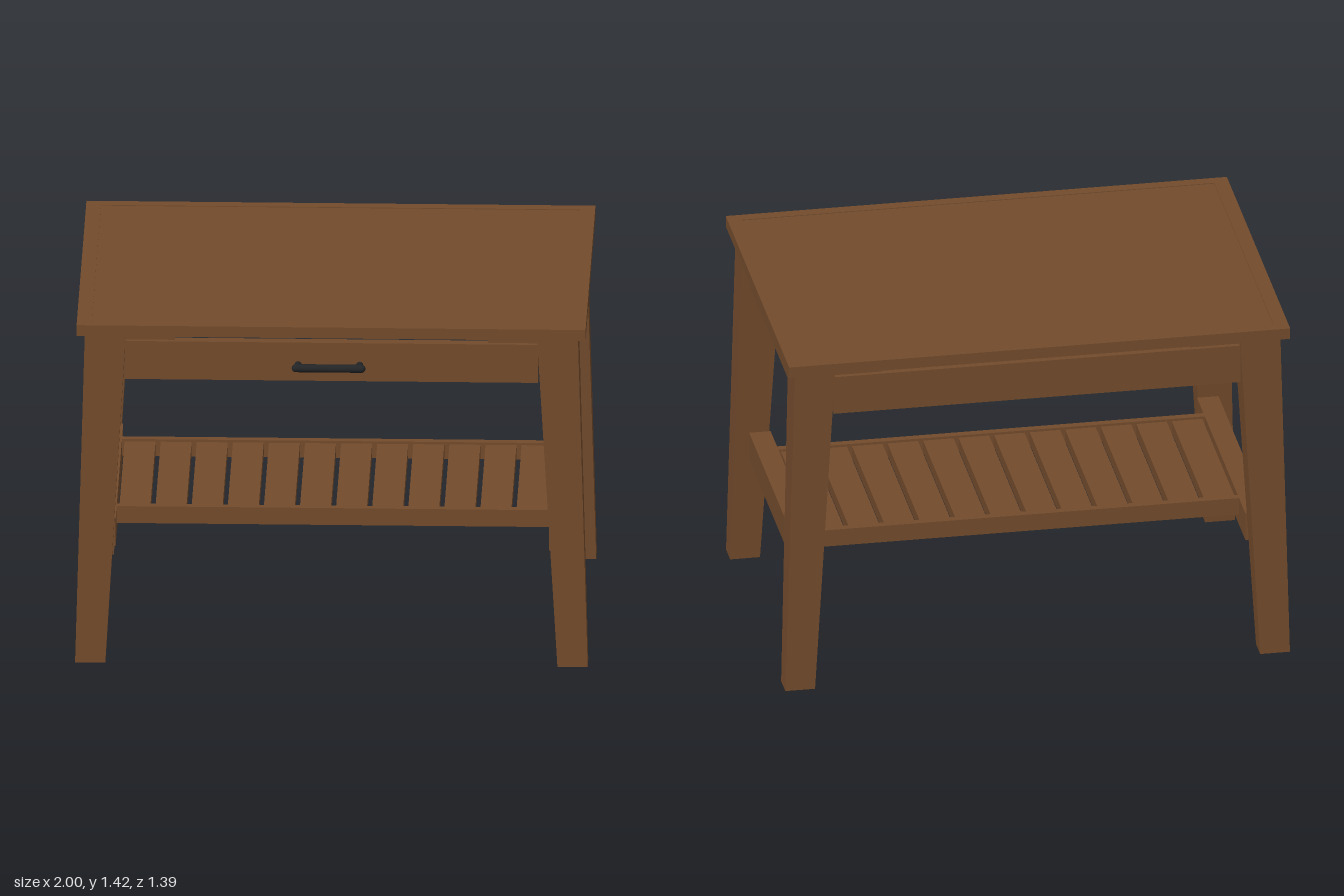
import * as THREE from 'three';

export function createModel() {
  const group = new THREE.Group();
  const wood = new THREE.MeshStandardMaterial({ color: 0x734b2c });
  wood.name = 'brown wood';
  const metal = new THREE.MeshStandardMaterial({ color: 0x222426 });
  metal.name = 'black metal';

  const add = (name, geometry, material = wood) => {
    const mesh = new THREE.Mesh(geometry, material);
    mesh.name = name;
    group.add(mesh);
    return mesh;
  };
  // Box given by its limits on each axis
  const box = (name, x0, x1, y0, y1, z0, z1, material) => {
    const mesh = add(name, new THREE.BoxGeometry(x1 - x0, y1 - y0, z1 - z0), material);
    mesh.position.set((x0 + x1) / 2, (y0 + y1) / 2, (z0 + z1) / 2);
    return mesh;
  };
  // Flat board cut from an (x, z) outline, standing between y0 and y1
  const board = (name, points, y0, y1) => {
    const shape = new THREE.Shape(points.map(([x, z]) => new THREE.Vector2(x, -z)));
    const geometry = new THREE.ExtrudeGeometry(shape, { depth: y1 - y0, bevelEnabled: false });
    geometry.rotateX(-Math.PI / 2).translate(0, y0, 0);
    return add(name, geometry);
  };

  // Table top: centre panel inside a mitred frame
  const X = 0.993, Z = 0.695, x = 0.935, z = 0.65;
  box('topPanel', -x, x, 1.375, 1.417, -z, z);
  for (const s of [-1, 1]) {
    board('topFrameLong', [[-X, s * Z], [X, s * Z], [x, s * z], [-x, s * z]], 1.375, 1.42);
    board('topFrameShort', [[s * X, -Z], [s * X, Z], [s * x, z], [s * x, -z]], 1.375, 1.42);
  }

  // Legs: taper inward on the inner faces and splay sideways
  const legHeight = 1.375;
  for (const sx of [-1, 1]) {
    for (const sz of [-1, 1]) {
      const geometry = new THREE.BoxGeometry(1, legHeight, 1);
      const p = geometry.attributes.position;
      for (let i = 0; i < p.count; i++) {
        const top = p.getY(i) > 0;
        const outerX = p.getX(i) * sx > 0;
        const outerZ = p.getZ(i) * sz > 0;
        p.setXYZ(i,
          sx * (outerX ? (top ? 0.962 : 1) : (top ? 0.802 : 0.882)),
          top ? legHeight : 0,
          sz * (outerZ ? 0.65 : (top ? 0.5 : 0.558)));
      }
      geometry.computeVertexNormals();
      add(sz > 0 ? 'frontLeg' : 'backLeg', geometry);

      // Corner block closing the gap under the top
      board('cornerBlock', [[sx * 0.61, sz * 0.62], [sx * 0.86, sz * 0.62], [sx * 0.86, sz * 0.45]], 1.335, 1.375);
    }
    // Side apron and lower side rail
    const side = (name, a, b, y0, y1, zz) =>
      box(name, Math.min(sx * a, sx * b), Math.max(sx * a, sx * b), y0, y1, -zz, zz);
    side('sideApron', 0.86, 0.93, 1.19, 1.375, 0.51);
    side('sideRail', 0.845, 0.93, 0.44, 0.555, 0.53);
  }

  // Drawer front and back apron, leaving a gap below the top
  box('drawerFront', -0.806, 0.806, 1.177, 1.335, 0.595, 0.638);
  box('backApron', -0.806, 0.806, 1.177, 1.335, -0.638, -0.595);

  // Shelf: two long rails with slats between
  for (const s of [-1, 1]) {
    box('shelfRail', -0.845, 0.845, 0.485, 0.555, s * 0.375 - 0.015, s * 0.375 + 0.015);
  }
  const slats = 12, pitch = 1.69 / slats;
  for (let i = 0; i < slats; i++) {
    const c = -0.845 + pitch * (i + 0.5);
    box('shelfSlat', c - pitch / 2 + 0.01, c + pitch / 2 - 0.01, 0.495, 0.545, -0.36, 0.36);
  }

  // Drawer handle: rounded bar on two posts
  const bar = add('handleBar', new THREE.CapsuleGeometry(0.016, 0.256, 6, 14), metal);
  bar.rotation.z = Math.PI / 2;
  bar.position.set(-0.01, 1.244, 0.679);
  for (const s of [-1, 1]) {
    const post = add('handlePost', new THREE.CylinderGeometry(0.014, 0.014, 0.045, 14), metal);
    post.rotation.x = Math.PI / 2;
    post.position.set(-0.01 + s * 0.12, 1.244, 0.657);
  }

  // Mirrored outlines are turned to face outward by the shape extrusion
  return group;
}
